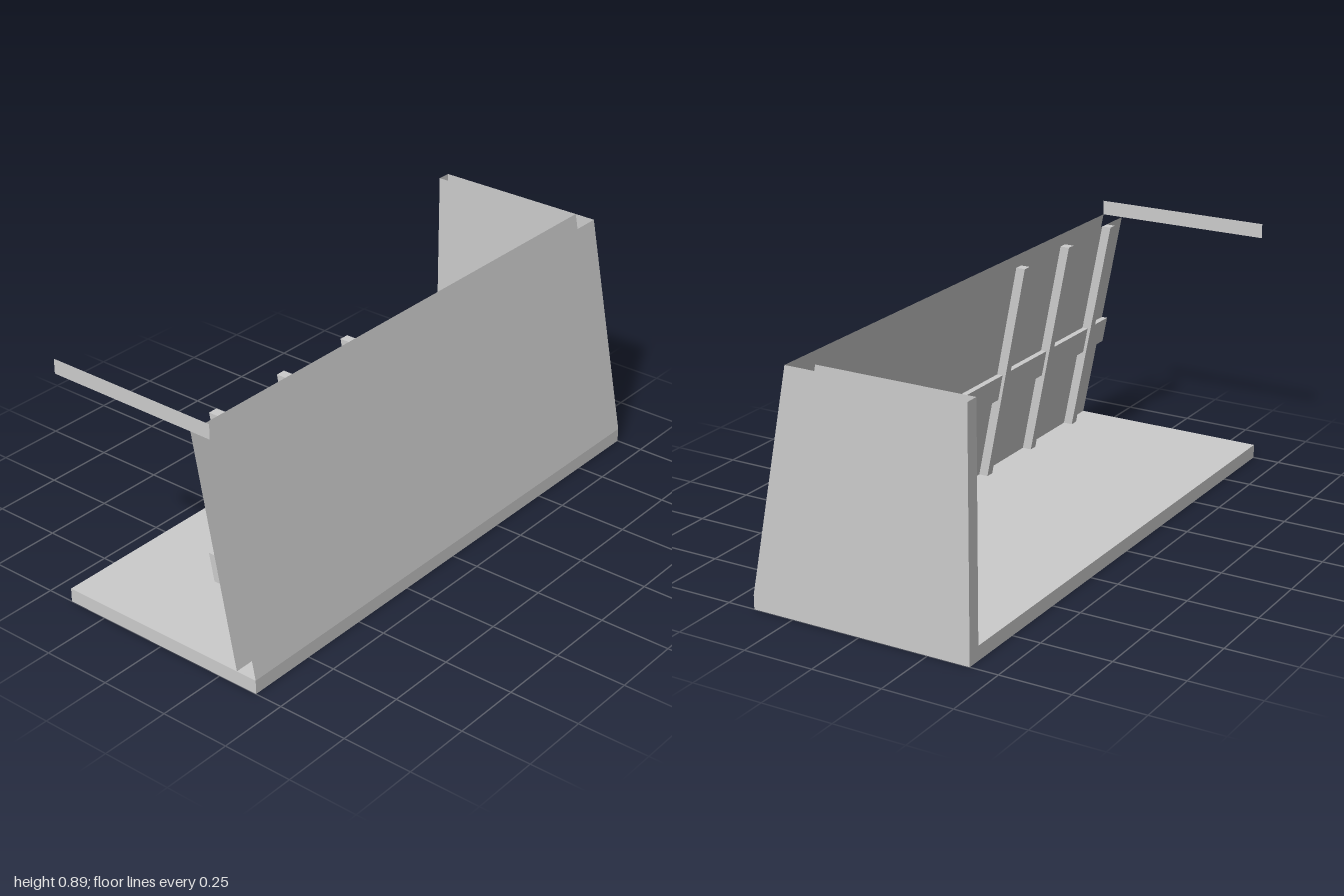
import * as THREE from 'three';

const material = new THREE.MeshStandardMaterial({ color: 0xcccccc, flatShading: true, side: THREE.DoubleSide });
const FLOOR = 0.05, TOP = 0.843, BACK = -0.4;
const LEAN = 0.155 / (TOP - FLOOR); // how far the front leans back per unit of height
const outerZ = (y) => 0.4 - LEAN * (y - FLOOR);
const innerZ = (y) => outerZ(y) - 0.077;

export function createModel() {
  const model = new THREE.Group();

  const add = (name, geometry, x = 0, y = 0, z = 0) => {
    const mesh = new THREE.Mesh(geometry, material);
    mesh.name = name;
    mesh.position.set(x, y, z);
    model.add(mesh);
    return mesh;
  };

  // Shears a geometry so that its z = 0 plane follows a leaning surface
  const lean = (geometry, y, surface) => {
    const p = geometry.translate(0, y, 0).attributes.position;
    for (let i = 0; i < p.count; i++) p.setZ(i, p.getZ(i) + surface(p.getY(i)));
    geometry.computeVertexNormals();
    return geometry;
  };

  // Flat upright sheet in the z-y plane at a given x
  const sideSheet = (name, x, outline) => {
    const shape = new THREE.Shape(outline.map(([z, y]) => new THREE.Vector2(-z, y)));
    add(name, new THREE.ShapeGeometry(shape).rotateY(Math.PI / 2), x);
  };

  // Floor slab
  add('floor', new THREE.BoxGeometry(2, FLOOR, 0.8), 0, FLOOR / 2);

  // Leaning front wall: two skins, open at the top and at the right end
  const height = TOP - FLOOR, middle = (TOP + FLOOR) / 2;
  add('frontOuterSkin', lean(new THREE.PlaneGeometry(2, height), middle, outerZ));
  add('frontInnerSkin', lean(new THREE.PlaneGeometry(2, height), middle, innerZ));

  // Left wall: two skins closed at the back, open at the top
  sideSheet('leftOuterSkin', 1, [[0.4, 0], [0.4, FLOOR], [outerZ(TOP), TOP], [BACK, TOP], [BACK, 0]]);
  sideSheet('leftInnerSkin', 0.95, [[innerZ(FLOOR), FLOOR], [innerZ(TOP), TOP], [BACK, TOP], [BACK, FLOOR]]);
  add('leftWallBackEdge', new THREE.PlaneGeometry(0.05, height).rotateY(Math.PI), 0.975, middle, BACK);

  // Thin strip along the top of the open right side
  sideSheet('rightTopStrip', -1, [[outerZ(TOP), TOP], [outerZ(TOP), 0.895], [BACK, 0.895], [BACK, TOP]]);

  // Leaning studs on the inside of the front wall
  for (const x of [-0.865, -0.557, -0.25]) {
    add('stud', lean(new THREE.BoxGeometry(0.033, height, 0.034).translate(0, 0, -0.017), middle, innerZ), x);
  }

  // Horizontal rail between wall and open end
  add('rail', lean(new THREE.BoxGeometry(1.95, 0.095, 0.022).translate(0, 0, -0.011), 0.395, innerZ), -0.025);

  return model;
}
